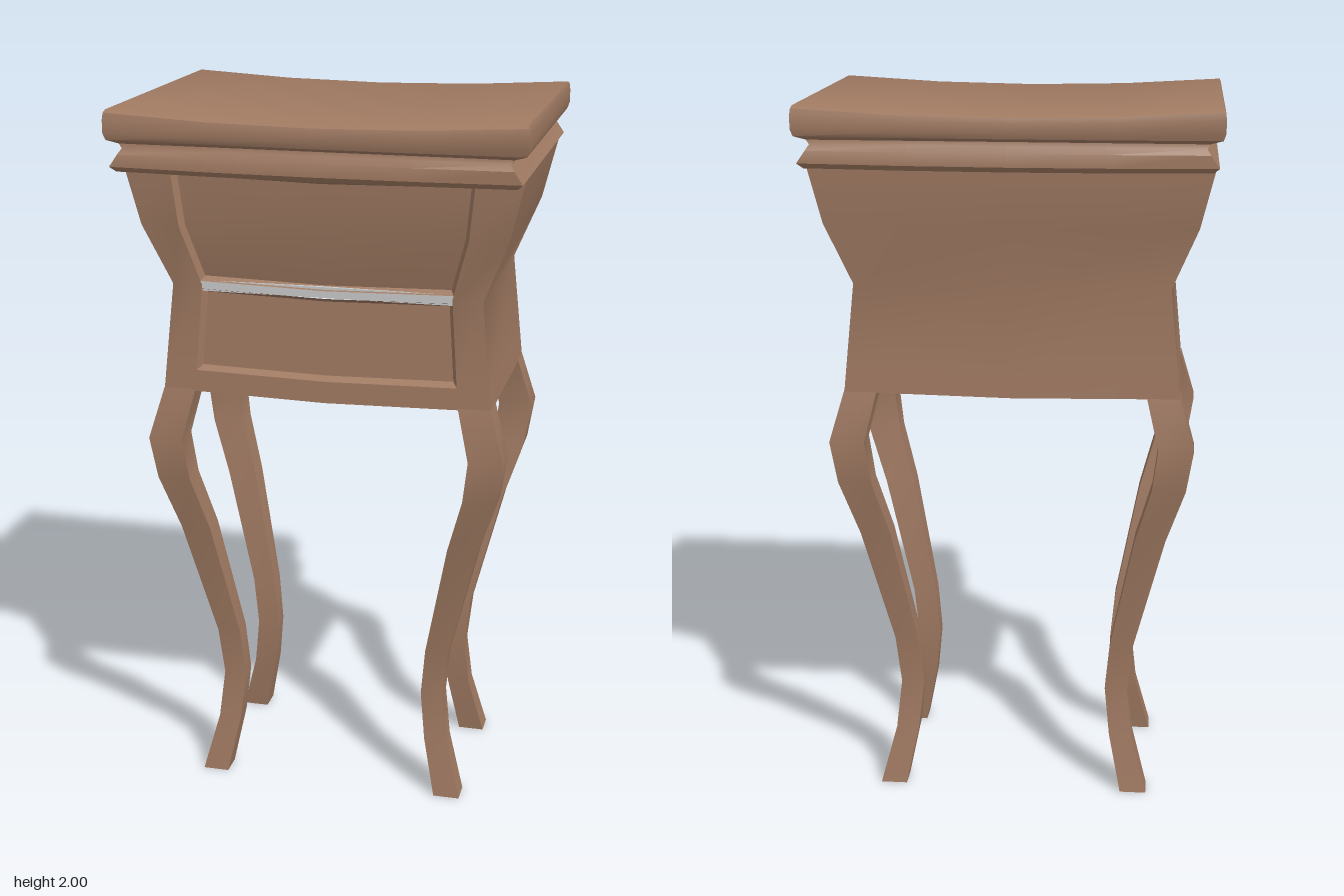
import * as THREE from 'three';
import { mergeGeometries, toCreasedNormals } from 'three/addons/utils/BufferGeometryUtils.js';

const wood = new THREE.MeshStandardMaterial({ color: 0xa07a62 });
const woodTwoSided = new THREE.MeshStandardMaterial({ color: 0xa07a62, side: THREE.DoubleSide });
const metal = new THREE.MeshStandardMaterial({ color: 0xcccccc });

// Skin a list of rows of [x, y, z]; outward = along a row x towards the next row
function skin(rows, closed = false) {
  const pos = rows.flat(2), n = rows[0].length, index = [];
  for (let r = 0; r < rows.length - 1; r++) {
    for (let c = 0; c < (closed ? n : n - 1); c++) {
      const a = r * n + c, b = r * n + (c + 1) % n;
      index.push(a, b, b + n, a, b + n, a + n);
    }
  }
  const g = new THREE.BufferGeometry();
  g.setAttribute('position', new THREE.Float32BufferAttribute(pos, 3));
  g.setIndex(index);
  return g;
}

function mesh(name, parts, material = wood) {
  const m = new THREE.Mesh(toCreasedNormals(mergeGeometries(parts), 0.6), material);
  m.name = name;
  return m;
}

// Linear lookup in a table of [y, value, value, ...]
function lookup(table, y) {
  let i = 0;
  while (i < table.length - 2 && y > table[i + 1][0]) i++;
  const a = table[i], b = table[i + 1], t = (y - a[0]) / (b[0] - a[0]);
  return a.map((v, k) => v + (b[k] - v) * t).slice(1);
}

// y, half width, front z, back z, half width of the drawer opening
const BODY = [
  [1.21, 0.46, 0.28, -0.295, 0.37],
  [1.51, 0.43, 0.265, -0.28, 0.347],
  [1.68, 0.50, 0.307, -0.32, 0.395],
  [1.845, 0.54, 0.32, -0.333, 0.412],
];
const body = (y) => {
  const [x, zf, zb, w] = lookup(BODY, y);
  return { x, zf, zb, w };
};
const SAG = 0.008;

// Row of three points over the drawer opening, dipping at the middle
function openingRow(y, inset = 0, depth = 0) {
  const { w, zf } = body(y);
  return [-1, 0, 1].map((s) => [s * (w - inset), y - (s ? 0 : SAG), zf - depth]);
}

function makeCabinet() {
  const ys = [1.21, 1.27, 1.51, 1.68, 1.83, 1.845];
  const shell = ys.map((y) => {
    const { x, zf, zb } = body(y);
    return [[x, y, zf], [x, y, zb], [0, y - SAG, zb], [-x, y, zb], [-x, y, zf]];
  });
  const stile = (s) => skin(ys.map((y) => {
    const { x, zf, w } = body(y);
    const row = [[s * w, y, zf], [s * x, y, zf]];
    return s > 0 ? row : row.reverse();
  }));
  const { x, zf, zb } = body(1.21);
  const floorRow = (z) => [-x, 0, x].map((px) => [px, 1.21 - (px ? 0 : SAG), z]);
  return mesh('cabinet', [
    skin(shell), stile(1), stile(-1),
    skin([1.21, 1.27].map((y) => openingRow(y))),
    skin([1.83, 1.845].map((y) => openingRow(y))),
    skin([floorRow(zb), floorRow(zf)]),
  ]);
}

// Recessed drawer front with a slanted rim
function makeDrawer(name, y0, y1, mids) {
  const inset = 0.012, depth = 0.02;
  const loop = (i, d) => {
    const ys = [y0 + i, ...mids, y1 - i], rows = ys.map((y) => openingRow(y, i, d));
    const inner = rows.slice(1, -1);
    return [...rows[0], ...inner.map((r) => r[2]), ...rows.at(-1).slice().reverse(),
      ...inner.map((r) => r[0]).reverse()];
  };
  const panel = [y0 + inset, ...mids, y1 - inset].map((y) => openingRow(y, inset, depth));
  return mesh(name, [skin([loop(0, 0), loop(inset, depth)], true), skin(panel)], woodTwoSided);
}

// Curved square leg: y, outer x, inner x, outer z, inner z
const LEG = [
  [0, 0.39, 0.315, 0.242, 0.175],
  [0.17, 0.345, 0.28, 0.215, 0.155],
  [0.31, 0.33, 0.265, 0.2, 0.147],
  [0.45, 0.345, 0.278, 0.21, 0.152],
  [0.79, 0.43, 0.345, 0.26, 0.188],
  [0.95, 0.483, 0.39, 0.295, 0.215],
  [1.07, 0.502, 0.405, 0.307, 0.225],
  [1.215, 0.46, 0.37, 0.281, 0.2],
];
function makeLeg(name, sx, sz) {
  const z = (v) => (sz > 0 ? v : -v - 0.013);
  const rows = LEG.map(([y, xo, xi, zo, zi]) => {
    const ring = [[sx * xi, y, z(zo)], [sx * xo, y, z(zo)], [sx * xo, y, z(zi)], [sx * xi, y, z(zi)]];
    return sx * sz > 0 ? ring : ring.reverse();
  });
  const [a, b, c, d] = rows[0];
  return mesh(name, [skin(rows, true), skin([[d, c], [a, b]])]);
}

// Moulded top with a dished surface: y, half width, half depth, dip at the middle
const TOP = [
  [1.838, 0.53, 0.4, 0.004],
  [1.852, 0.545, 0.413, 0.004],
  [1.885, 0.522, 0.413, 0.002],
  [1.9, 0.512, 0.402, 0],
  [1.912, 0.52, 0.4, 0],
  [1.922, 0.552, 0.412, 0.002],
  [1.94, 0.558, 0.417, 0.006],
  [1.975, 0.558, 0.417, 0.015],
  [1.993, 0.556, 0.413, 0.02],
  [2.0, 0.553, 0.402, 0.021],
];
function makeTop() {
  const edge = ([y, x, z, dip], s) => [-1, -0.5, 0, 0.5, 1].map((t) =>
    [t * x, y - dip * (1 - t * t), s * z - 0.002]);
  const rings = TOP.map((p) => [...edge(p, 1), ...edge(p, -1).reverse()]);
  const low = TOP[0], high = TOP.at(-1);
  return mesh('top', [
    skin(rings, true),
    skin([edge(high, 1), edge(high, -1)]),
    skin([edge(low, -1), edge(low, 1)]),
  ]);
}

export function createModel() {
  const model = new THREE.Group();
  model.name = 'nightstand';
  model.add(makeTop(), makeCabinet());
  model.add(makeDrawer('upperDrawer', 1.522, 1.83, [1.68]));
  model.add(makeDrawer('lowerDrawer', 1.27, 1.5, []));

  // Metal strip between the drawers
  const strip = new THREE.Mesh(new THREE.BoxGeometry(0.7, 0.03, 0.04), metal);
  strip.name = 'drawerDivider';
  strip.position.set(0, 1.509, 0.244);
  model.add(strip);

  for (const [side, sx] of [['Left', 1], ['Right', -1]]) {
    model.add(makeLeg('front' + side + 'Leg', sx, 1), makeLeg('back' + side + 'Leg', sx, -1));
  }
  return model;
}
